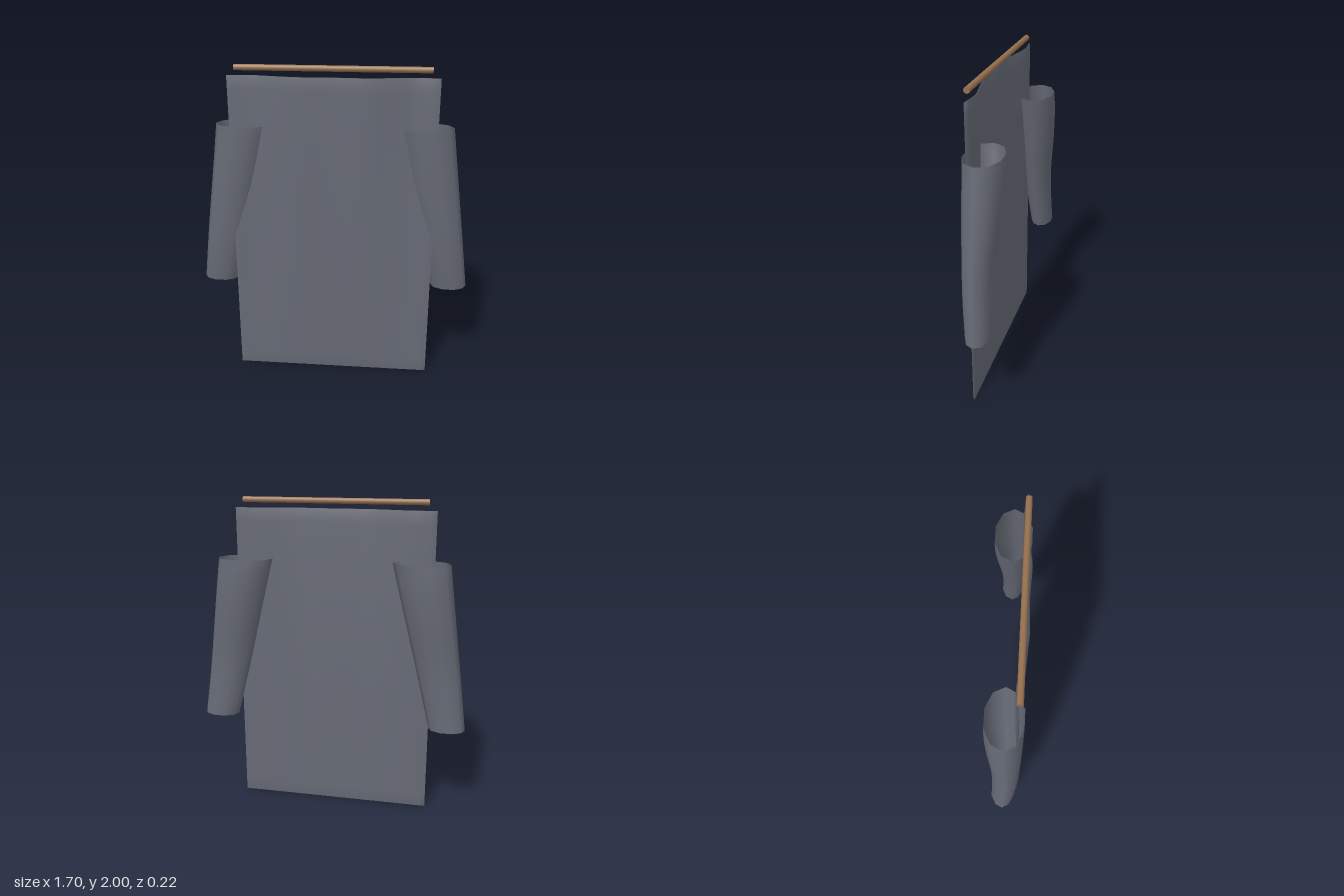
import * as THREE from 'three';
import { mergeVertices } from 'three/addons/utils/BufferGeometryUtils.js';

// Move every vertex by a rule, then weld and smooth the surface
function reshape(geometry, rule) {
  const p = geometry.attributes.position;
  const v = new THREE.Vector3();
  for (let i = 0; i < p.count; i++) {
    rule(v.fromBufferAttribute(p, i));
    p.setXYZ(i, v.x, v.y, v.z);
  }
  geometry.deleteAttribute('normal');
  geometry.deleteAttribute('uv');
  const welded = mergeVertices(geometry, 1e-5);
  welded.computeVertexNormals();
  return welded;
}

// Smooth curve y(x) through a few points, x rising
function profile(points) {
  return (x) => {
    const last = points.length - 1;
    let i = 0;
    while (i < last - 1 && x > points[i + 1][0]) i++;
    const [x0, y0] = points[i], [x1, y1] = points[i + 1];
    const slope = (k) => {
      const a = points[Math.max(k - 1, 0)], b = points[Math.min(k + 1, last)];
      return (b[1] - a[1]) / (b[0] - a[0]);
    };
    const h = x1 - x0, t = THREE.MathUtils.clamp((x - x0) / h, 0, 1);
    const t2 = t * t, t3 = t2 * t;
    return (2 * t3 - 3 * t2 + 1) * y0 + (t3 - 2 * t2 + t) * h * slope(i)
      + (3 * t2 - 2 * t3) * y1 + (t3 - t2) * h * slope(i + 1);
  };
}

export function createModel() {
  const model = new THREE.Group();
  const cloth = new THREE.MeshStandardMaterial({ color: 0x666a75, side: THREE.DoubleSide });
  cloth.name = 'slate cloth';
  const wood = new THREE.MeshStandardMaterial({ color: 0x96704e });
  wood.name = 'brown wood';

  function add(name, geometry, material) {
    const mesh = new THREE.Mesh(geometry, material);
    mesh.name = name;
    model.add(mesh);
    return mesh;
  }

  // Hanging panel: thin sheet whose folds fade out towards the hem
  const W = 1.236, H = 1.935;
  const fold = profile([[0, 0.019], [0.1, 0.022], [0.2, 0.026], [0.35, 0.002], [0.48, -0.021], [0.62, -0.007]]);
  add('panel', reshape(new THREE.BoxGeometry(W, H, 0.01, 32, 24, 1), (v) => {
    v.y += H / 2;
    v.z += 0.076 + (0.003 + fold(Math.abs(v.x))) * v.y / H;
  }), cloth);

  // Sleeves: open tapering tubes, leaning outwards
  const top = 1.635, bottom = 0.6, length = top - bottom;
  const back = profile([[0.6, -0.08], [0.75, -0.075], [1.0, -0.075], [1.3, -0.1], [1.5, -0.11], [1.635, -0.108]]);
  const front = profile([[0.6, 0.06], [0.8, 0.079], [1.0, 0.09], [1.3, 0.1], [1.635, 0.106]]);
  for (const side of [1, -1]) {
    const tube = new THREE.CylinderGeometry(1, 1, length, 10, 14, true, Math.PI / 2);
    add(side > 0 ? 'leftSleeve' : 'rightSleeve', reshape(tube, (v) => {
      const t = v.y / length + 0.5;
      v.y += (top + bottom) / 2;
      const inner = THREE.MathUtils.lerp(0.625, 0.37, t);
      const outer = THREE.MathUtils.lerp(0.852, 0.716, t);
      v.x = side * (inner + outer) / 2 + v.x * (outer - inner) / 2;
      const b = back(v.y), f = front(v.y);
      v.z = (b + f) / 2 + (v.z / 0.951) * (f - b) / 2;
    }), cloth);
  }

  // Hanging rod above the panel
  const rod = add('rod', new THREE.CylinderGeometry(0.018, 0.018, 1.14, 10), wood);
  rod.rotation.z = Math.PI / 2;
  rod.position.set(0, 1.983, 0.077);

  return model;
}
